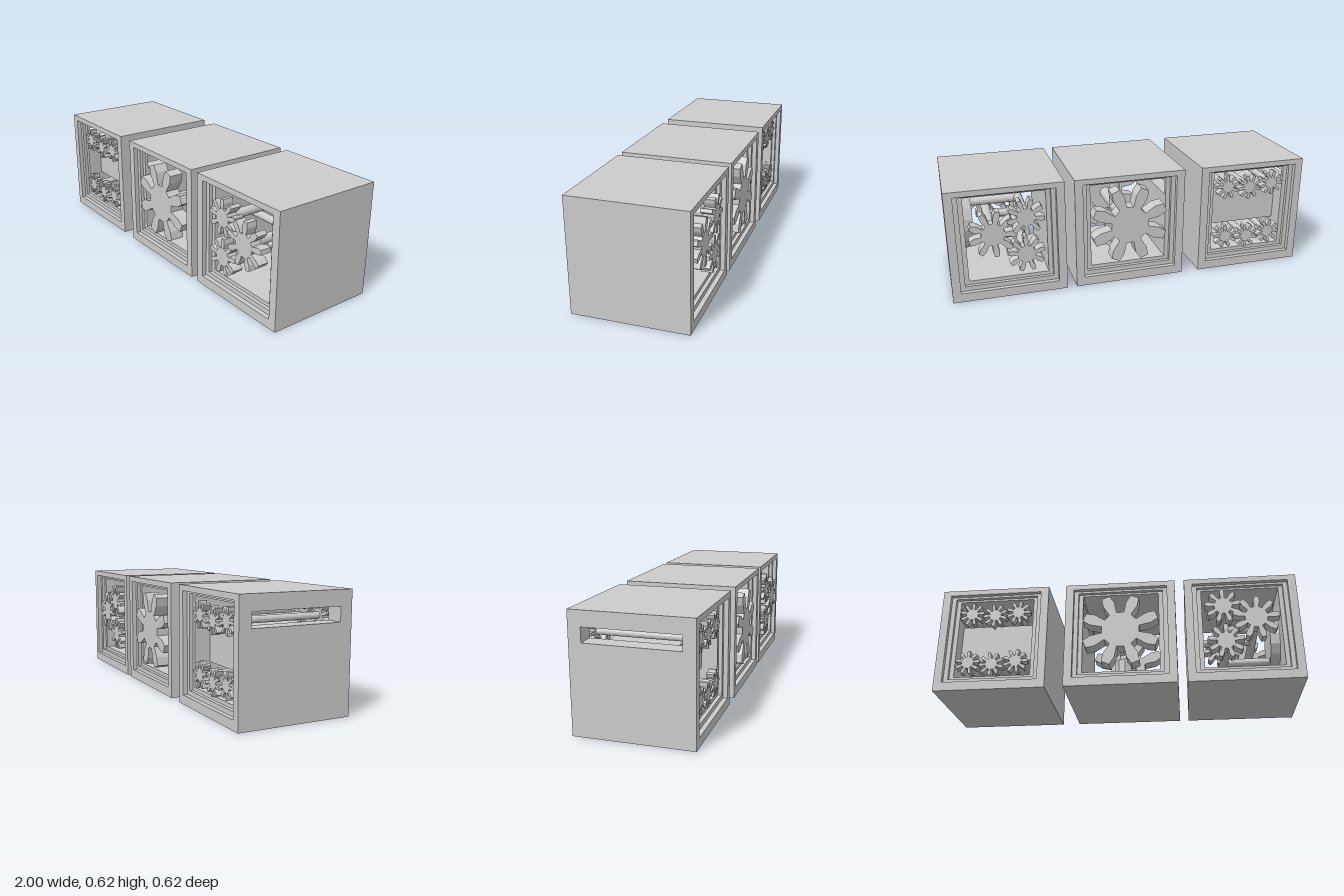
import * as THREE from 'three';

const material = new THREE.MeshStandardMaterial({ color: 0xcccccc, flatShading: true });

function add(parent, name, geometry) {
  const mesh = new THREE.Mesh(geometry, material);
  mesh.name = name;
  parent.add(mesh);
  return mesh;
}

// Box given by its low and high corners
function block(parent, name, x0, x1, y0, y1, z0, z1) {
  const mesh = add(parent, name, new THREE.BoxGeometry(x1 - x0, y1 - y0, z1 - z0));
  mesh.position.set((x0 + x1) / 2, (y0 + y1) / 2, (z0 + z1) / 2);
}

// Round bar or cone between two points
function bar(parent, name, a, b, r0, r1 = r0, sides = 16) {
  const from = new THREE.Vector3(...a), to = new THREE.Vector3(...b);
  const dir = to.clone().sub(from);
  const mesh = add(parent, name, new THREE.CylinderGeometry(r1, r0, dir.length(), sides));
  mesh.position.copy(from).add(to).multiplyScalar(0.5);
  mesh.quaternion.setFromUnitVectors(new THREE.Vector3(0, 1, 0), dir.normalize());
}

// Side wall, optionally pierced by a long slot
function sideWall(parent, x0, x1, y0, y1, z0, z1, slotted) {
  if (!slotted) return block(parent, 'sideWall', x0, x1, y0, y1, z0, z1);
  const [sy0, sy1, sz0, sz1] = [0.465, 0.54, -0.245, 0.24];
  block(parent, 'slottedWallLower', x0, x1, y0, sy0, z0, z1);
  block(parent, 'slottedWallUpper', x0, x1, sy1, y1, z0, z1);
  block(parent, 'slottedWallBack', x0, x1, sy0, sy1, z0, sz0);
  block(parent, 'slottedWallFront', x0, x1, sy0, sy1, sz1, z1);
}

// Case open at both ends, its rim stepping inwards in three layers
const layers = [
  { side: 0, low: 0, high: 0, z0: -0.31, z1: 0.305 },
  { side: 0.045, low: 0.05, high: 0.03, z0: -0.285, z1: 0.28 },
  { side: 0.07, low: 0.075, high: 0.042, z0: -0.265, z1: 0.26 },
  { side: 0.094, low: 0.095, high: 0.053 },
];
function makeCase(parent, x0, x1, slotted) {
  const shell = new THREE.Group();
  shell.name = 'case';
  parent.add(shell);
  const H = 0.62;
  for (let i = 0; i < 3; i++) {
    const o = layers[i], n = layers[i + 1];
    block(shell, 'floor', x0 + o.side, x1 - o.side, o.low, n.low, o.z0, o.z1);
    block(shell, 'roof', x0 + o.side, x1 - o.side, H - n.high, H - o.high, o.z0, o.z1);
    sideWall(shell, x0 + o.side, x0 + n.side, n.low, H - n.high, o.z0, o.z1, slotted);
    sideWall(shell, x1 - n.side, x1 - o.side, n.low, H - n.high, o.z0, o.z1, false);
  }
}

// Gear with long teeth that swell past the middle and narrow at the tip
function gear(parent, name, x, y, z0, z1, R, teeth, phase) {
  const shape = new THREE.Shape();
  const profile = [[0.48, 0.1], [0.78, 0.155], [1, 0.11]]; // radius, half width
  for (let i = 0; i < teeth; i++) {
    const a = phase + (i / teeth) * Math.PI * 2;
    const c = Math.cos(a), s = Math.sin(a), k = 8 / teeth;
    const points = [
      ...profile.map(([r, w]) => [r, -w * k]),
      ...profile.slice().reverse().map(([r, w]) => [r, w * k]),
    ];
    points.forEach(([r, w], j) => {
      const px = R * (r * c - w * s), py = R * (r * s + w * c);
      if (i === 0 && j === 0) shape.moveTo(px, py);
      else shape.lineTo(px, py);
    });
  }
  shape.closePath();
  const mesh = add(parent, name, new THREE.ExtrudeGeometry(shape, { depth: z1 - z0, bevelEnabled: false }));
  mesh.position.set(x, y, z0);
}

// Front and back gears sharing one axle
function gearPair(parent, name, x, y, zFront, zBack, thick, R, teeth, phase, backPhase, axle) {
  gear(parent, name + 'Front', x, y, zFront - thick, zFront, R, teeth, phase);
  gear(parent, name + 'Back', x, y, zBack, zBack + thick, R, teeth, backPhase);
  bar(parent, name + 'Axle', [x, y, zBack + thick / 2], [x, y, zFront - thick / 2], axle);
}

export function createModel() {
  const model = new THREE.Group();
  model.name = 'gearBoxes';
  const boxes = ['slabBox', 'largeGearBox', 'threeGearBox'].map((name) => {
    const g = new THREE.Group();
    g.name = name;
    model.add(g);
    return g;
  });

  // Box with a slab between two rows of small gears
  const [a, b, c] = boxes;
  makeCase(a, -1, -0.384, true);
  block(a, 'slab', -0.91, -0.472, 0.222, 0.445, -0.18, 0.175);
  for (const y of [0.475, 0.172]) {
    [-0.83, -0.695, -0.56].forEach((x, i) =>
      gearPair(a, 'smallGear', x, y + (i === 1 ? -0.008 : 0.005), 0.275, -0.28, 0.04, 0.07, 9, 0.1 + i * 0.3, 0.4 + i * 0.2, 0.018));
  }

  // Box with one large gear and an upright post
  makeCase(b, -0.284, 0.332, true);
  gearPair(b, 'largeGear', 0.025, 0.33, 0.3, -0.305, 0.08, 0.217, 8, Math.PI / 8, Math.PI / 8, 0.035);
  bar(b, 'post', [0.03, 0.1, 0], [0.03, 0.57, 0], 0.032);
  bar(b, 'postFoot', [0.03, 0.09, 0], [0.03, 0.26, 0], 0.062, 0.062, 10);
  bar(b, 'postCap', [0.03, 0.53, 0], [0.03, 0.57, 0], 0.07, 0.125);

  // Box with three meshing gears and cross rods
  makeCase(c, 0.384, 1, false);
  gearPair(c, 'upperGear', 0.593, 0.444, 0.307, -0.312, 0.06, 0.1, 9, 0.2, 0.5, 0.025);
  gearPair(c, 'middleGear', 0.767, 0.364, 0.313, -0.305, 0.06, 0.127, 9, 0.1, 0.4, 0.025);
  gearPair(c, 'lowerGear', 0.598, 0.232, 0.307, -0.305, 0.06, 0.1, 9, 0.15, 0.15, 0.025);
  bar(c, 'upperRod', [0.593, 0.444, 0], [0.87, 0.444, 0], 0.024);
  bar(c, 'middleRod', [0.47, 0.362, 0], [0.767, 0.362, 0], 0.022);
  bar(c, 'lowerRod', [0.598, 0.23, 0], [0.87, 0.23, 0], 0.024);
  bar(c, 'rodMount', [0.855, 0.338, 0], [0.91, 0.338, 0], 0.14, 0.158);
  return model;
}
